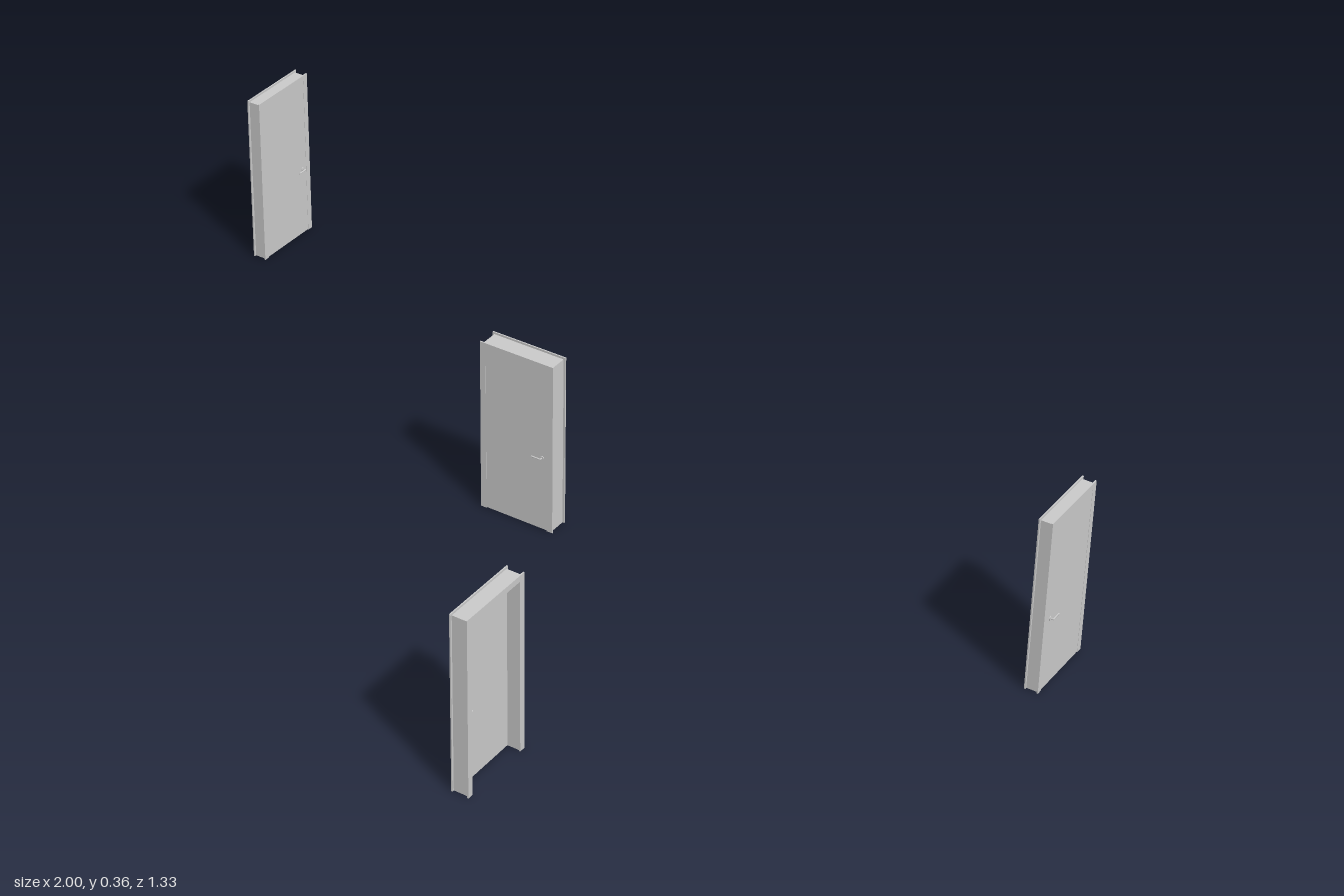
import * as THREE from 'three';

const grey = new THREE.MeshStandardMaterial({ color: 0xcccccc });

function mesh(name, geometry, x = 0, y = 0, z = 0) {
  const m = new THREE.Mesh(geometry, grey);
  m.name = name;
  m.position.set(x, y, z);
  return m;
}

// Upside-down U (two posts and a head) extruded along z
function portal(width, height, band, depth) {
  const w = width / 2, i = w - band, h = height - band;
  const shape = new THREE.Shape([
    [-w, 0], [-i, 0], [-i, h], [i, h], [i, 0], [w, 0], [w, height], [-w, height],
  ].map(([x, y]) => new THREE.Vector2(x, y)));
  return new THREE.ExtrudeGeometry(shape, { depth, bevelEnabled: false });
}

// Rosette, neck and lever; side is +1 in front of the leaf, -1 behind it
function makeHandle(name, side, hand) {
  const g = new THREE.Group();
  g.name = name;
  const rosette = mesh('rosette', new THREE.CylinderGeometry(0.0042, 0.0042, 0.0015, 20), 0, 0, side * 0.00075);
  const neck = mesh('neck', new THREE.CylinderGeometry(0.0014, 0.0014, 0.005, 12), 0, 0, side * 0.0035);
  rosette.rotation.x = neck.rotation.x = Math.PI / 2;
  const lever = mesh('lever', new THREE.CylinderGeometry(0.0014, 0.0014, 0.021, 12), -hand * 0.0091, 0, side * 0.006);
  lever.rotation.z = Math.PI / 2;
  g.add(rosette, neck, lever);
  return g;
}

// Door facing +z; hand = +1 puts the handle near +x, -1 near -x
function makeDoor({ name, width, height, depth, handleY, hand }) {
  const door = new THREE.Group();
  door.name = name;
  const trim = 0.0025, lip = 0.004, band = 0.012, leafThick = 0.008;
  const front = depth / 2;

  // Frame: jamb between a front and a back architrave
  door.add(mesh('jamb', portal(width - 2 * lip, height - lip, 0.006, depth - 2 * trim), 0, 0, -front + trim));
  door.add(mesh('frontArchitrave', portal(width, height, band, trim), 0, 0, front - trim));
  door.add(mesh('backArchitrave', portal(width, height, band, trim), 0, 0, -front));

  // Leaf sits almost flush with the front
  const leafW = width - 2 * band + 0.001, leafH = height - band - 0.001;
  const leafFront = front - 0.0005;
  door.add(mesh('leaf', new THREE.BoxGeometry(leafW, leafH, leafThick),
    0, 0.0015 + leafH / 2, leafFront - leafThick / 2));

  // A lever on each side, close to the opening edge
  for (const side of [1, -1]) {
    const handle = makeHandle(side > 0 ? 'frontHandle' : 'backHandle', side, hand);
    handle.position.set(hand * (width / 2 - 0.023), handleY, side > 0 ? leafFront : leafFront - leafThick);
    door.add(handle);
  }
  return door;
}

export function createModel() {
  const model = new THREE.Group();
  model.name = 'doors';
  const q = Math.PI / 2;
  const doors = [
    { name: 'rightDoor', width: 0.156, height: 0.355, depth: 0.029, handleY: 0.147, hand: 1, x: -0.9855, z: -0.589, turn: q },
    { name: 'middleDoor', width: 0.157, height: 0.356, depth: 0.042, handleY: 0.156, hand: 1, x: -0.04, z: -0.065, turn: 0 },
    { name: 'frontDoor', width: 0.164, height: 0.364, depth: 0.035, handleY: 0.147, hand: 1, x: 0.333, z: 0.585, turn: -q },
    { name: 'leftDoor', width: 0.156, height: 0.355, depth: 0.027, handleY: 0.147, hand: -1, x: 0.9795, z: -0.195, turn: q },
  ];
  for (const d of doors) {
    const door = makeDoor(d);
    door.position.set(d.x, 0, d.z);
    door.rotation.y = d.turn;
    model.add(door);
  }
  return model;
}
